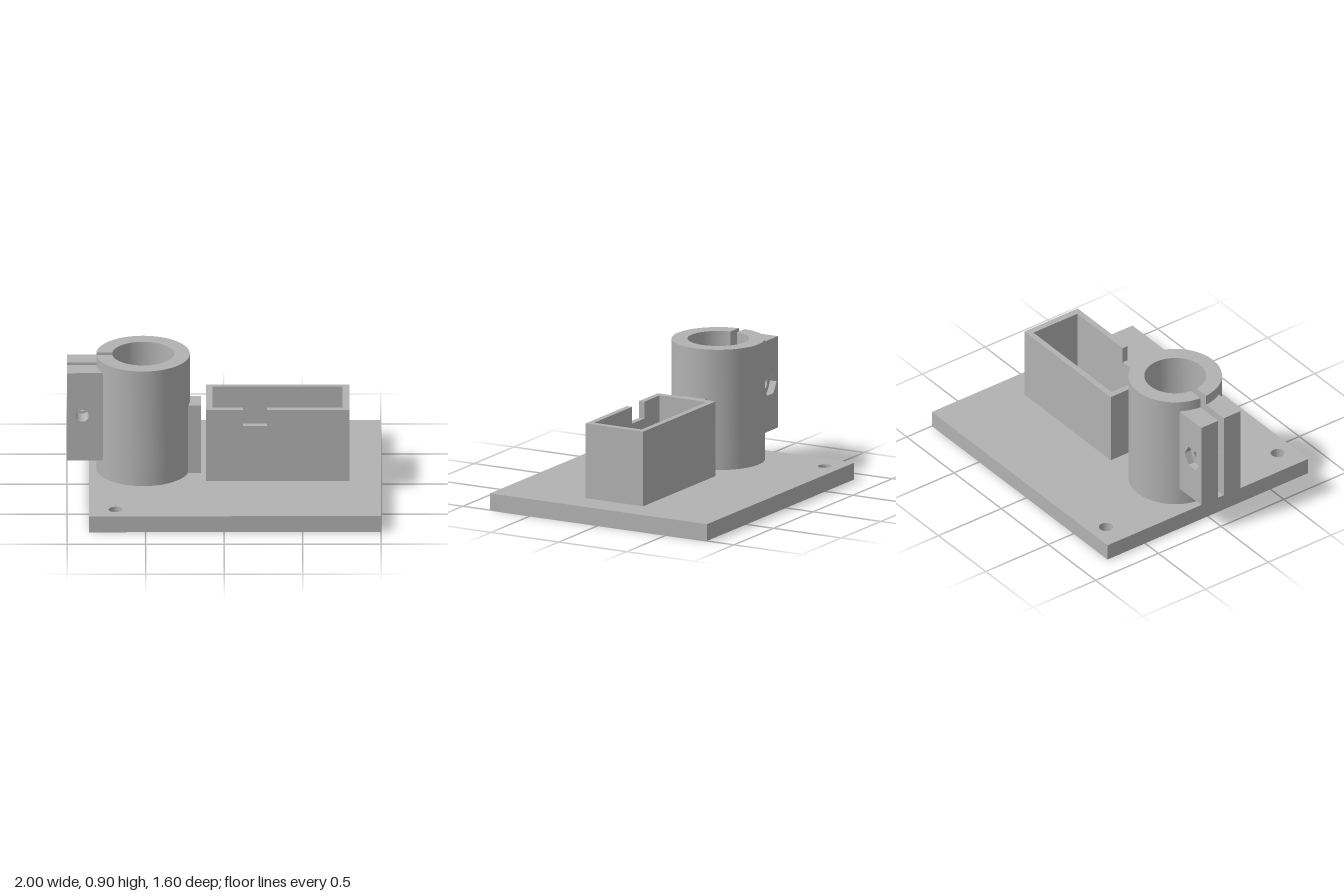
import * as THREE from 'three';
import { toCreasedNormals } from 'three/addons/utils/BufferGeometryUtils.js';

const PLATE_TOP = 0.11;

// Closed outline from [x, y] pairs
const poly = (pts, Kind = THREE.Shape) => new Kind(pts.map(p => new THREE.Vector2(p[0], p[1])));
const rect = (x0, x1, y0, y1, Kind) => poly([[x0, y0], [x1, y0], [x1, y1], [x0, y1]], Kind);
const rectHole = (x0, x1, y0, y1) => rect(x0, x1, y0, y1, THREE.Path);
const roundHole = (x, y, r) => new THREE.Path().absarc(x, y, r, 0, Math.PI * 2, true);

function extrude(shape, depth) {
  const g = new THREE.ExtrudeGeometry(shape, { depth, bevelEnabled: false, curveSegments: 48 });
  return toCreasedNormals(g, 0.5);
}

export function createModel() {
  const model = new THREE.Group();
  model.name = 'servoClampMount';
  const grey = new THREE.MeshStandardMaterial({ color: 0xb2b2b2 });
  grey.name = 'grey';

  const add = (name, geometry) => {
    const mesh = new THREE.Mesh(geometry, grey);
    mesh.name = name;
    model.add(mesh);
  };
  // Plan shape (x, -z) raised from y0 to y1
  const raise = (name, shape, y0, y1) =>
    add(name, extrude(shape, y1 - y0).rotateX(-Math.PI / 2).translate(0, y0, 0));
  // Front shape (x, y) running from z0 to z1
  const push = (name, shape, z0, z1) => add(name, extrude(shape, z1 - z0).translate(0, 0, z0));

  // Base plate in two layers, so that blind holes open above or below only
  const plateLayer = (name, y0, y1, xs, z, r) => {
    const s = rect(-0.86, 1, -0.8, 0.8);
    s.holes.push(rectHole(0.05, 0.63, -0.147, 0.147));
    for (const side of [-1, 1]) {
      s.holes.push(roundHole(-0.69, side * 0.685, 0.045));
      for (const x of xs) s.holes.push(roundHole(x, side * z, r));
    }
    raise(name, s, y0, y1);
  };
  plateLayer('plateBottom', 0, 0.055, [-0.4, 0.81], 0.606, 0.038);
  plateLayer('plateTop', 0.055, PLATE_TOP, [-0.015, 0.69], 0.07, 0.042);

  // Open box: closed walls below, a notch in the front wall above
  const walls = rect(-0.115, 0.8, -0.213, 0.213);
  walls.holes.push(rectHole(-0.073, 0.755, -0.175, 0.175));
  raise('boxWalls', walls, PLATE_TOP, 0.49);
  raise('boxRim', poly([
    [0.275, -0.213], [0.8, -0.213], [0.8, 0.213], [-0.115, 0.213], [-0.115, -0.213], [0.12, -0.213],
    [0.12, -0.175], [-0.073, -0.175], [-0.073, 0.175], [0.755, 0.175], [0.755, -0.175], [0.275, -0.175],
  ]), 0.49, 0.6);

  // Tube clamp: full ring at the foot, slit ring above
  const cx = -0.515, R = 0.298, r = 0.197, slit = 0.0225;
  const foot = new THREE.Shape().absarc(cx, 0, R, 0, Math.PI * 2, false);
  foot.holes.push(roundHole(cx, 0, r));
  raise('tubeFoot', foot, PLATE_TOP, 0.2);
  const a = Math.PI - Math.asin(slit / R), b = Math.PI - Math.asin(slit / r);
  const ring = new THREE.Shape();
  ring.absarc(cx, 0, R, -a, a, false);
  ring.absarc(cx, 0, r, b, -b, true);
  raise('slitTube', ring, 0.2, 0.9);

  // Rib behind the tube
  raise('rib', rect(-0.235, -0.145, -0.083, 0.083), PLATE_TOP, 0.575);

  // Clamp ears with a bolt hole; the back one has a hexagonal nut pocket
  const ear = hole => {
    const s = rect(-1, -0.77, 0.23, 0.83);
    s.holes.push(hole);
    return s;
  };
  const bolt = () => roundHole(-0.903, 0.537, 0.041);
  const hex = [];
  for (let i = 0; i < 6; i++) {
    const t = i * Math.PI / 3;
    hex.push([-0.903 + 0.08 * Math.cos(t), 0.537 + 0.08 * Math.sin(t)]);
  }
  push('frontEar', ear(bolt()), slit, 0.157);
  push('backEarInner', ear(bolt()), -0.11, -slit);
  push('backEarNutPocket', ear(poly(hex, THREE.Path)), -0.157, -0.11);

  return model;
}
